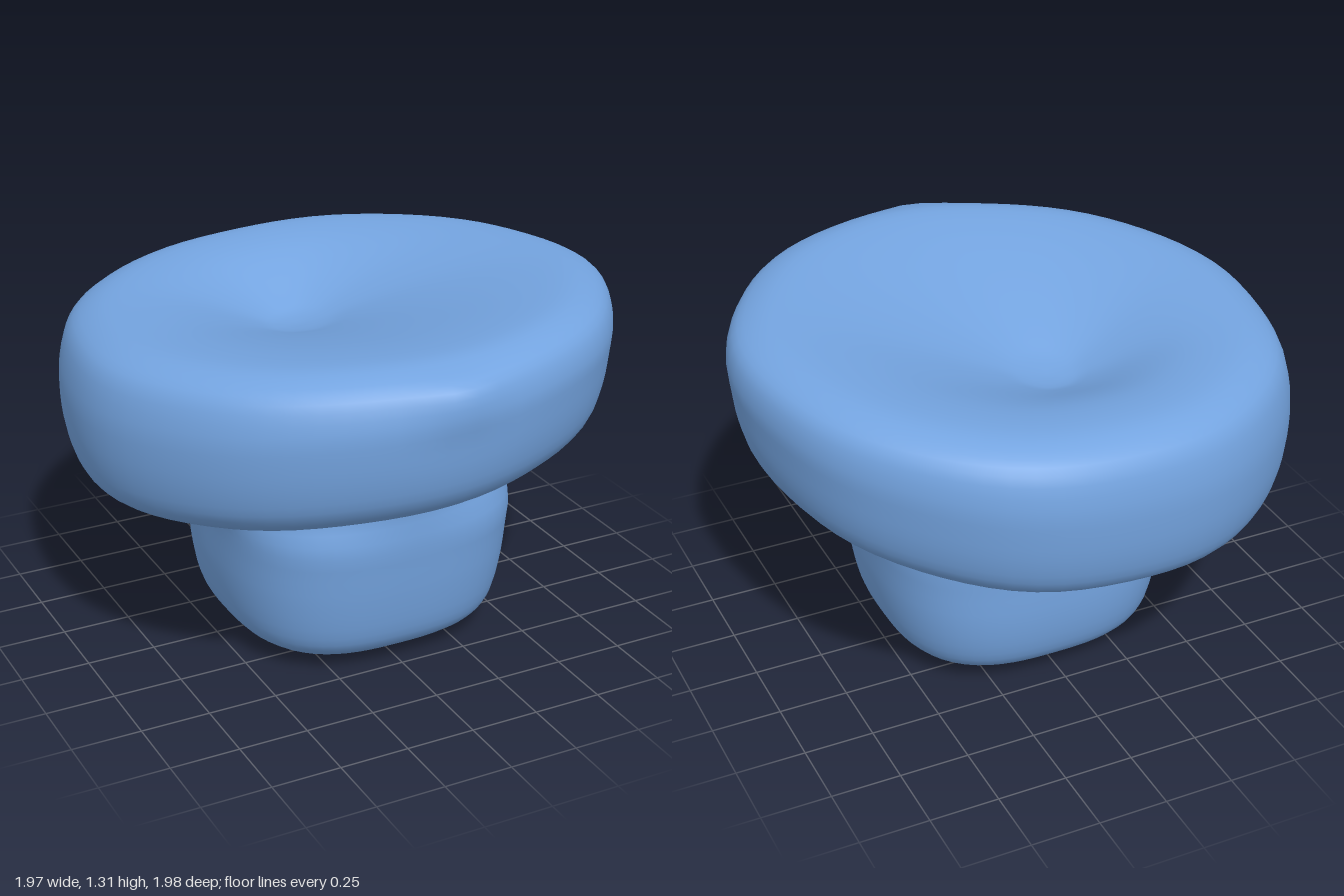
import * as THREE from 'three';
import { mergeVertices } from 'three/addons/utils/BufferGeometryUtils.js';

const { smoothstep, lerp } = THREE.MathUtils;

// Half profile (radius, height): foot, stem, fillet, cap rim, dished top
const PROFILE = [
  [0, 0.012], [0.25, 0.006], [0.36, 0.022], [0.46, 0.08], [0.505, 0.16], [0.53, 0.3],
  [0.54, 0.45], [0.555, 0.58], [0.6, 0.655], [0.72, 0.69], [0.85, 0.715], [0.93, 0.78],
  [0.965, 0.88], [0.98, 1.0], [0.98, 1.1], [0.95, 1.2], [0.88, 1.25], [0.78, 1.268],
  [0.6, 1.245], [0.4, 1.19], [0.2, 1.12], [0.1, 1.085], [0, 1.075],
];

// Rounded-square factor for the stem's cross-section
function squareness(angle, n = 2.8) {
  const c = Math.abs(Math.cos(angle)), s = Math.abs(Math.sin(angle));
  return Math.pow(Math.pow(c, n) + Math.pow(s, n), -1 / n);
}

// Turns the round lathe form into the soft, hand-shaped one
function sculpt(geometry) {
  const p = geometry.attributes.position;
  for (let i = 0; i < p.count; i++) {
    let x = p.getX(i), y = p.getY(i), z = p.getZ(i);
    const r = Math.hypot(x, z), a = Math.atan2(z, x);
    const cap = smoothstep(y, 0.5, 0.7);
    const top = smoothstep(y, 0.95, 1.25);

    // square stem blending into a round, slightly uneven cap
    const uneven = 1 + 0.006 * Math.sin(5 * a + 0.6) + 0.004 * Math.sin(9 * a);
    const scale = lerp(squareness(a), uneven, cap);
    x *= scale;
    z *= scale;

    // small bump on the front of the rim
    z += 0.035 * smoothstep(r, 0.85, 0.97) * top
      * Math.exp(-Math.pow((a - Math.PI / 2 - 0.05) / 0.13, 2));

    // cap leans up to the front and left
    y += cap * lerp(0.08, 0.045, top) * (x + z);

    // stem sits a little forward, cap underside a little back, dish off centre
    const dish = y > 1 ? 1 - smoothstep(r, 0, 0.8) : 0;
    x += lerp(0.012, -0.012 * (1 - top), cap) - 0.06 * dish;
    z += lerp(0.02 + 0.015 * smoothstep(y, 0.2, 0.6), -0.015, cap) - 0.17 * dish;
    p.setXYZ(i, x, y, z);
  }
}

export function createModel() {
  const group = new THREE.Group();
  group.name = 'knob';

  const blue = new THREE.MeshStandardMaterial({ color: 0x74a4e0 });
  blue.name = 'soft blue';

  const curve = new THREE.SplineCurve(PROFILE.map(([r, y]) => new THREE.Vector2(r, y)));
  const points = curve.getPoints(66);
  points.forEach((v) => { v.x = Math.max(v.x, 0); });
  points[0].x = points[points.length - 1].x = 0;

  // One continuous skin; welding the seam keeps it smooth all round
  let skin = new THREE.LatheGeometry(points, 72);
  skin.deleteAttribute('normal');
  skin.deleteAttribute('uv');
  skin = mergeVertices(skin, 1e-4);
  sculpt(skin);
  skin.computeVertexNormals();

  const body = new THREE.Mesh(skin, blue);
  body.name = 'stemAndCap';
  group.add(body);
  return group;
}
